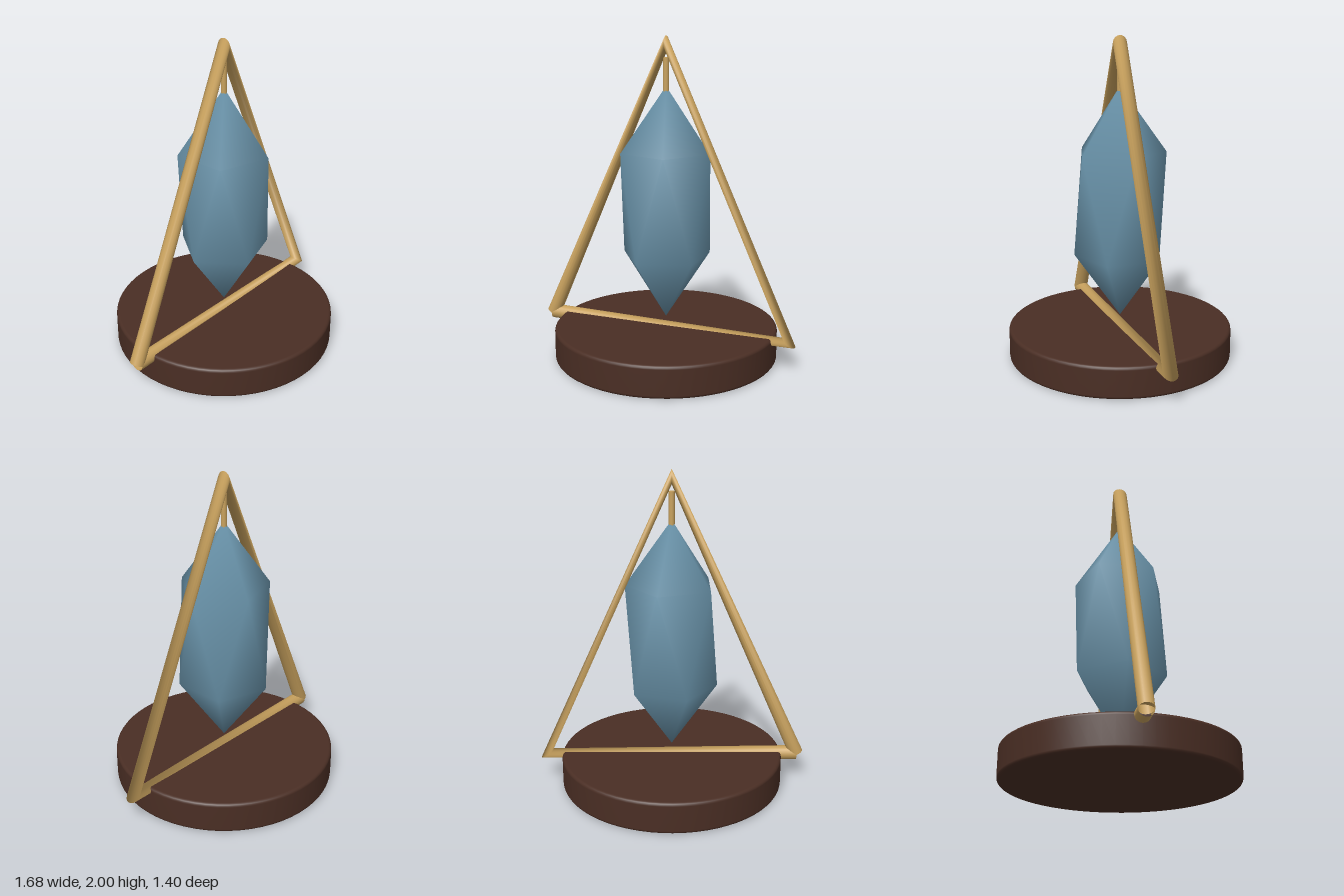
import * as THREE from 'three';

// Polyline whose tangents are mitred at the inner corners, one tube ring per corner
class MitredPath extends THREE.Curve {
  constructor(points) {
    super();
    this.points = points;
  }
  index(u) {
    return Math.round(u * (this.points.length - 1));
  }
  getPoint(u, target = new THREE.Vector3()) {
    return target.copy(this.points[this.index(u)]);
  }
  getPointAt(u, target) {
    return this.getPoint(u, target);
  }
  getTangentAt(u, target = new THREE.Vector3()) {
    const p = this.points, i = this.index(u);
    target.set(0, 0, 0);
    if (i > 0) target.add(p[i].clone().sub(p[i - 1]).normalize());
    if (i < p.length - 1) target.add(p[i + 1].clone().sub(p[i]).normalize());
    return target.normalize();
  }
}

// Pointed five-sided crystal: two offset pentagon rings between two tips
function crystalGeometry(radius, bottom, low, high, top) {
  const n = 5, pos = [0, top, 0, 0, bottom, 0], index = [];
  for (const [y, shift] of [[high, 0], [low, 0.5]]) {
    for (let i = 0; i < n; i++) {
      const a = ((i + shift) / n) * Math.PI * 2;
      pos.push(radius * Math.cos(a), y, radius * Math.sin(a));
    }
  }
  const up = (i) => 2 + (i % n), dn = (i) => 2 + n + (i % n);
  for (let i = 0; i < n; i++) {
    index.push(0, up(i + 1), up(i));
    index.push(up(i + 1), dn(i), up(i));
    index.push(up(i + 1), dn(i + 1), dn(i));
    index.push(1, dn(i), dn(i + 1));
  }
  const g = new THREE.BufferGeometry();
  g.setAttribute('position', new THREE.Float32BufferAttribute(pos, 3));
  g.setIndex(index);
  g.computeVertexNormals();
  return g;
}

// Disc with rounded rims
function discGeometry(radius, height, bevel) {
  const profile = [new THREE.Vector2(0, 0)];
  for (const [y, start] of [[bevel, -Math.PI / 2], [height - bevel, 0]]) {
    for (let i = 0; i <= 4; i++) {
      const a = start + (i / 4) * Math.PI / 2;
      profile.push(new THREE.Vector2(radius - bevel + bevel * Math.cos(a), y + bevel * Math.sin(a)));
    }
  }
  profile.push(new THREE.Vector2(0, height));
  return new THREE.LatheGeometry(profile, 64);
}

export function createModel() {
  const wood = new THREE.MeshStandardMaterial({ color: 0x4a2e24 });
  wood.name = 'darkWood';
  const brass = new THREE.MeshStandardMaterial({ color: 0xc9a25e, side: THREE.DoubleSide });
  brass.name = 'brass';
  const blue = new THREE.MeshStandardMaterial({ color: 0x6a94ab });
  blue.name = 'blueCrystal';

  const group = new THREE.Group();
  group.name = 'crystalStand';
  const add = (name, geometry, material) => {
    const mesh = new THREE.Mesh(geometry, material);
    mesh.name = name;
    group.add(mesh);
    return mesh;
  };

  add('base', discGeometry(0.7, 0.2, 0.02), wood);

  // Triangular frame, starting and ending at the right foot
  const corners = [[-0.8, 0.18], [0.8, 0.18], [0, 1.955], [-0.8, 0.18]]
    .map(([x, y]) => new THREE.Vector3(x, y, 0));
  add('triangleFrame', new THREE.TubeGeometry(new MitredPath(corners), 3, 0.045, 16, false), brass);

  // Short rod the crystal hangs from
  add('hangingRod', new THREE.CylinderGeometry(0.018, 0.018, 0.2, 12), brass).position.y = 1.77;

  add('crystal', crystalGeometry(0.285, 0.25, 0.65, 1.3, 1.7), blue);

  return group;
}
